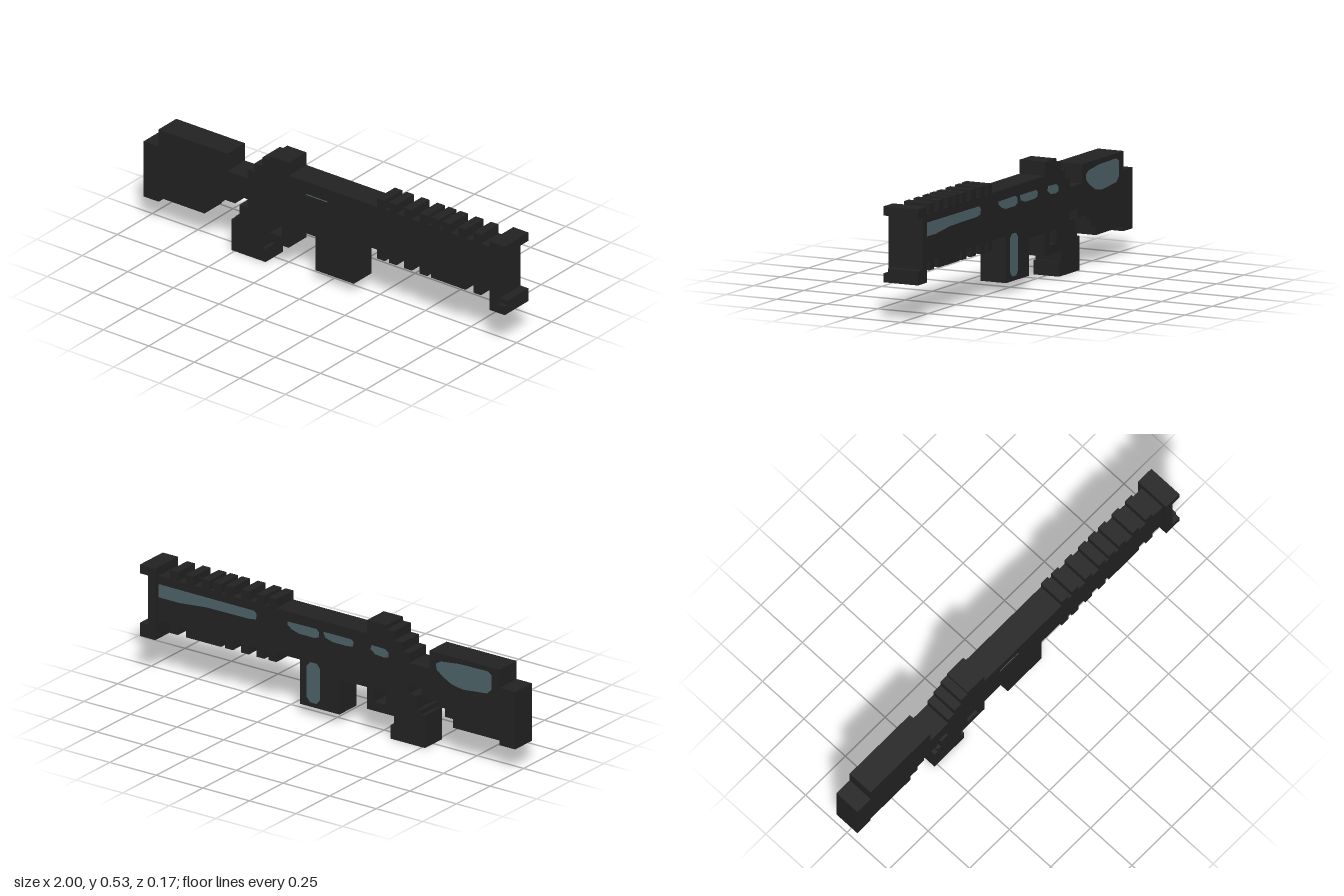
import * as THREE from 'three';

const bodyMat = new THREE.MeshStandardMaterial({ color: 0x222222 });
bodyMat.name = 'charcoal';
const panelMat = new THREE.MeshStandardMaterial({ color: 0x4c6268 });
panelMat.name = 'slateBlue';

const HALF = 0.063; // half thickness of the body

// Extrudes an outline of [x, y] points from z0 to z1, with optional holes
function slab(name, pts, z0 = -HALF, z1 = HALF, mat = bodyMat, holes = []) {
  const toV = (list) => list.map(([x, y]) => new THREE.Vector2(x, y));
  const shape = new THREE.Shape(toV(pts));
  for (const h of holes) shape.holes.push(new THREE.Path(toV(h)));
  const geo = new THREE.ExtrudeGeometry(shape, { depth: z1 - z0, bevelEnabled: false });
  geo.translate(0, 0, z0);
  const mesh = new THREE.Mesh(geo, mat);
  mesh.name = name;
  return mesh;
}

// Axis-aligned box given by its limits
function block(name, x0, x1, y0, y1, z0 = -HALF, z1 = HALF, mat = bodyMat) {
  const mesh = new THREE.Mesh(new THREE.BoxGeometry(x1 - x0, y1 - y0, z1 - z0), mat);
  mesh.position.set((x0 + x1) / 2, (y0 + y1) / 2, (z0 + z1) / 2);
  mesh.name = name;
  return mesh;
}

export function createModel() {
  const model = new THREE.Group();
  model.name = 'toyRifle';

  // Stepped shoulder stock with its neck
  model.add(slab('stock', [
    [-1, 0.11], [-0.917, 0.11], [-0.917, 0.132], [-0.665, 0.132], [-0.665, 0.173],
    [-0.623, 0.173], [-0.623, 0.212], [-0.582, 0.212], [-0.582, 0.235], [-0.497, 0.235],
    [-0.497, 0.277], [-0.43, 0.277], [-0.43, 0.38], [-0.54, 0.38], [-0.54, 0.465],
    [-0.917, 0.465], [-0.917, 0.38], [-1, 0.38],
  ]));

  // Receiver with the stepped rear sight
  model.add(slab('receiver', [
    [-0.43, 0.212], [0.155, 0.212], [0.155, 0.465], [-0.203, 0.465], [-0.203, 0.527],
    [-0.307, 0.527], [-0.307, 0.508], [-0.348, 0.508], [-0.348, 0.465], [-0.391, 0.465],
    [-0.391, 0.424], [-0.43, 0.424],
  ]));

  // Pistol grip and trigger guard
  model.add(slab('gripAndTriggerGuard', [
    [-0.516, 0], [-0.33, 0], [-0.33, 0.064], [-0.348, 0.064], [-0.348, 0.11],
    [-0.203, 0.11], [-0.203, 0.212], [-0.43, 0.212], [-0.43, 0.235], [-0.474, 0.235],
    [-0.474, 0.173], [-0.495, 0.173], [-0.495, 0.152], [-0.516, 0.152],
  ], -HALF, HALF, bodyMat, [[[-0.307, 0.152], [-0.307, 0.2115], [-0.243, 0.2115], [-0.243, 0.152]]]));

  model.add(block('magazine', -0.056, 0.155, 0.047, 0.212));
  model.add(block('barrel', 0.155, 0.917, 0.255, 0.465));

  // Cooling ribs above and below the barrel
  const ribs = new THREE.Group();
  ribs.name = 'barrelRibs';
  for (const x of [0.283, 0.347, 0.431, 0.516, 0.579, 0.642, 0.727, 0.811]) {
    ribs.add(block('upperRib', x, x + 0.042, 0.465, 0.508));
  }
  for (const [x, w] of [[0.283, 0.042], [0.347, 0.042], [0.431, 0.042], [0.516, 0.042], [0.579, 0.19], [0.811, 0.042]]) {
    ribs.add(block('lowerRib', x, x + w, 0.212, 0.255));
  }
  model.add(ribs);

  // Wide muzzle plate with projecting lips
  const W = 0.085;
  const muzzle = new THREE.Group();
  muzzle.name = 'muzzle';
  muzzle.add(
    block('muzzlePlate', 0.917, 0.957, 0.21, 0.465, -W, W),
    block('muzzleUpperLip', 0.917, 1, 0.465, 0.506, -W, W),
    block('muzzleLowerLip', 0.917, 1, 0.17, 0.21, -W, W),
    block('muzzleLowerStep', 0.957, 1, 0.21, 0.232, -W, HALF),
  );
  model.add(muzzle);

  // Painted panels on the back side
  const panels = {
    barrelPanel: [[0.915, 0.427], [0.40, 0.425], [0.388, 0.41], [0.392, 0.388], [0.42, 0.382],
      [0.66, 0.38], [0.80, 0.366], [0.915, 0.366]],
    receiverPanelFront: [[0.222, 0.418], [0.07, 0.42], [0.053, 0.408], [0.055, 0.385], [0.075, 0.376],
      [0.16, 0.376], [0.20, 0.388], [0.222, 0.405]],
    receiverPanelMiddle: [[0.03, 0.416], [-0.12, 0.416], [-0.133, 0.405], [-0.128, 0.386], [-0.10, 0.38],
      [-0.02, 0.38], [0.02, 0.392]],
    receiverPanelRear: [[-0.23, 0.416], [-0.30, 0.414], [-0.32, 0.402], [-0.32, 0.38], [-0.295, 0.374],
      [-0.25, 0.378], [-0.224, 0.395]],
    magazinePanel: [[0.10, 0.256], [0.065, 0.256], [0.048, 0.235], [0.048, 0.09], [0.065, 0.068],
      [0.10, 0.068], [0.12, 0.09], [0.12, 0.235]],
    stockPanel: [[-0.575, 0.413], [-0.60, 0.428], [-0.70, 0.44], [-0.85, 0.442], [-0.873, 0.43],
      [-0.873, 0.36], [-0.85, 0.338], [-0.72, 0.325], [-0.66, 0.335], [-0.61, 0.362], [-0.58, 0.385]],
  };
  for (const [name, pts] of Object.entries(panels)) {
    model.add(slab(name, pts, -HALF - 0.002, -HALF + 0.001, panelMat));
  }

  // Fine painted line on the front side
  model.add(block('frontLine', -0.105, 0.01, 0.401, 0.405, HALF - 0.001, HALF + 0.002, panelMat));

  return model;
}
